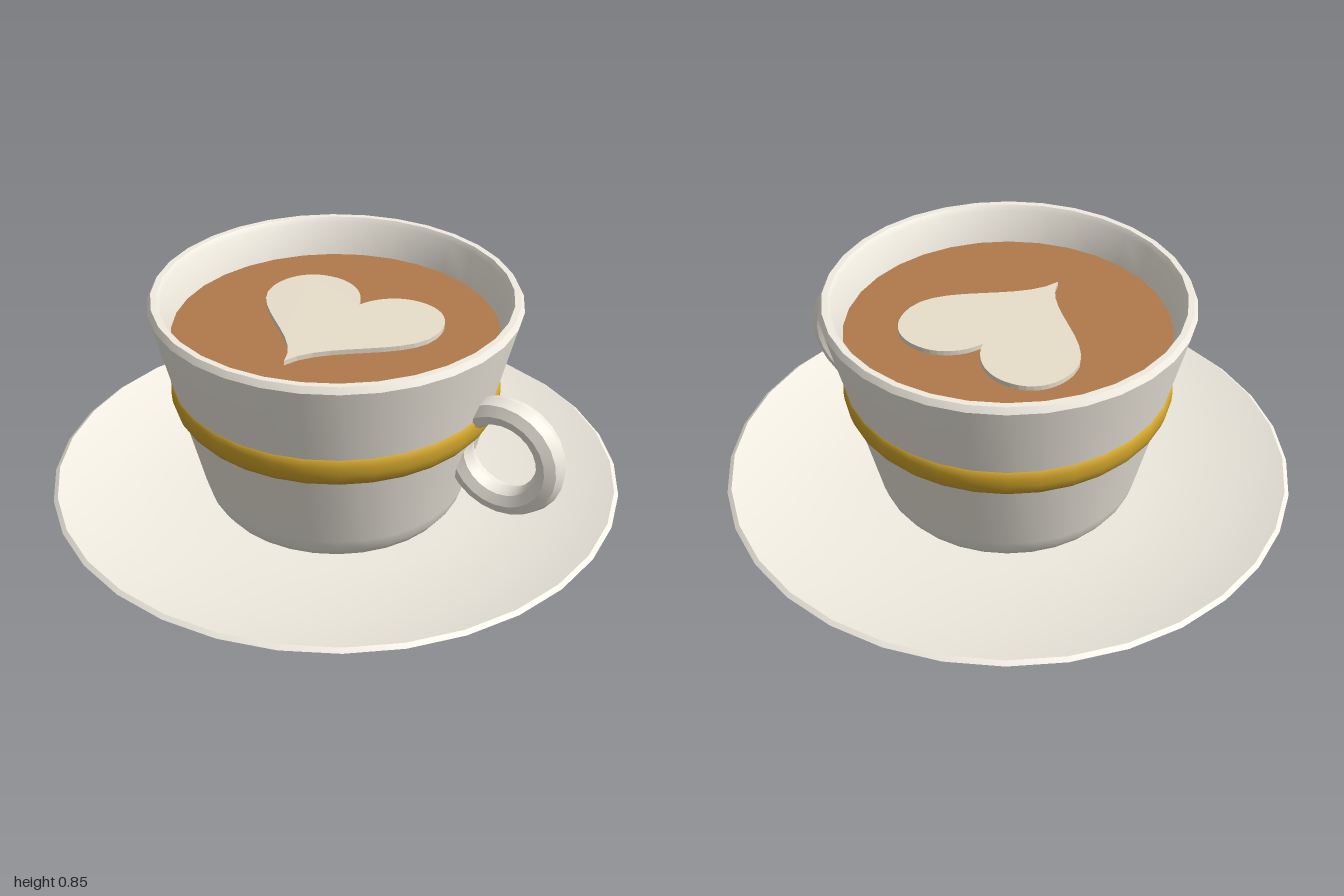
import * as THREE from 'three';
import { toCreasedNormals } from 'three/addons/utils/BufferGeometryUtils.js';

const SIDES = 32;

function material(color) {
  return new THREE.MeshStandardMaterial({ color });
}

// Surface of revolution; the profile runs up the outside, then back down the inside
function lathe(points, crease = 0.6) {
  const profile = points.map(([r, y]) => new THREE.Vector2(r, y));
  return toCreasedNormals(new THREE.LatheGeometry(profile, SIDES), crease);
}

// Half outline drawn with curves, then mirrored; shape y becomes world z
function heartShape() {
  const shape = new THREE.Shape();
  shape.moveTo(0, -0.145);
  shape.bezierCurveTo(0.02, -0.22, 0.09, -0.28, 0.17, -0.28);
  shape.bezierCurveTo(0.27, -0.28, 0.33, -0.21, 0.33, -0.11);
  shape.bezierCurveTo(0.33, 0.06, 0.04, 0.14, 0, 0.31);
  shape.bezierCurveTo(-0.04, 0.14, -0.33, 0.06, -0.33, -0.11);
  shape.bezierCurveTo(-0.33, -0.21, -0.27, -0.28, -0.17, -0.28);
  shape.bezierCurveTo(-0.09, -0.28, -0.02, -0.22, 0, -0.145);
  return shape;
}

export function createModel() {
  const model = new THREE.Group();
  model.name = 'cupAndSaucer';
  const porcelain = material(0xf2ede2);
  const gold = material(0xd4a72c);
  const coffeeBrown = material(0xb07a4a);
  const milk = material(0xe8decb);

  function add(name, geometry, mat) {
    const mesh = new THREE.Mesh(geometry, mat);
    mesh.name = name;
    model.add(mesh);
    return mesh;
  }

  // Shallow dish with a thin raised rim
  add('saucer', lathe([
    [0, 0], [0.43, 0], [0.79, 0.045], [0.975, 0.125], [1, 0.147],
    [0.985, 0.158], [0.8, 0.1], [0.5, 0.068], [0, 0.06],
  ]), porcelain);

  // Tapered hollow cup with a rounded foot and bevelled lip
  add('cup', lathe([
    [0, 0.062], [0.38, 0.062], [0.425, 0.08], [0.45, 0.115], [0.465, 0.16],
    [0.63, 0.832], [0.618, 0.853], [0.597, 0.853], [0.585, 0.835],
    [0.557, 0.72], [0.43, 0.18], [0.38, 0.12], [0, 0.12],
  ]), porcelain);

  // Rounded band around the cup wall
  add('goldBand', lathe([
    [0.525, 0.444], [0.54, 0.445], [0.556, 0.465], [0.566, 0.495],
    [0.568, 0.525], [0.565, 0.545], [0.556, 0.556], [0.535, 0.556],
  ], 0.9), gold);

  // Eight-sided ring handle, partly sunk into the wall
  const handle = add('handle',
    toCreasedNormals(new THREE.TorusGeometry(0.168, 0.05, 8, 24), 0.5), porcelain);
  handle.position.set(0.656, 0.432, 0);

  // Drink surface
  const coffee = add('coffee', new THREE.CylinderGeometry(0.56, 0.552, 0.03, SIDES), coffeeBrown);
  coffee.position.y = 0.705;

  // Milk heart lying on the drink
  const heart = add('milkHeart', new THREE.ExtrudeGeometry(heartShape(), {
    depth: 0.025, bevelEnabled: false, curveSegments: 10,
  }).rotateX(Math.PI / 2), milk);
  heart.position.y = 0.737;

  return model;
}
